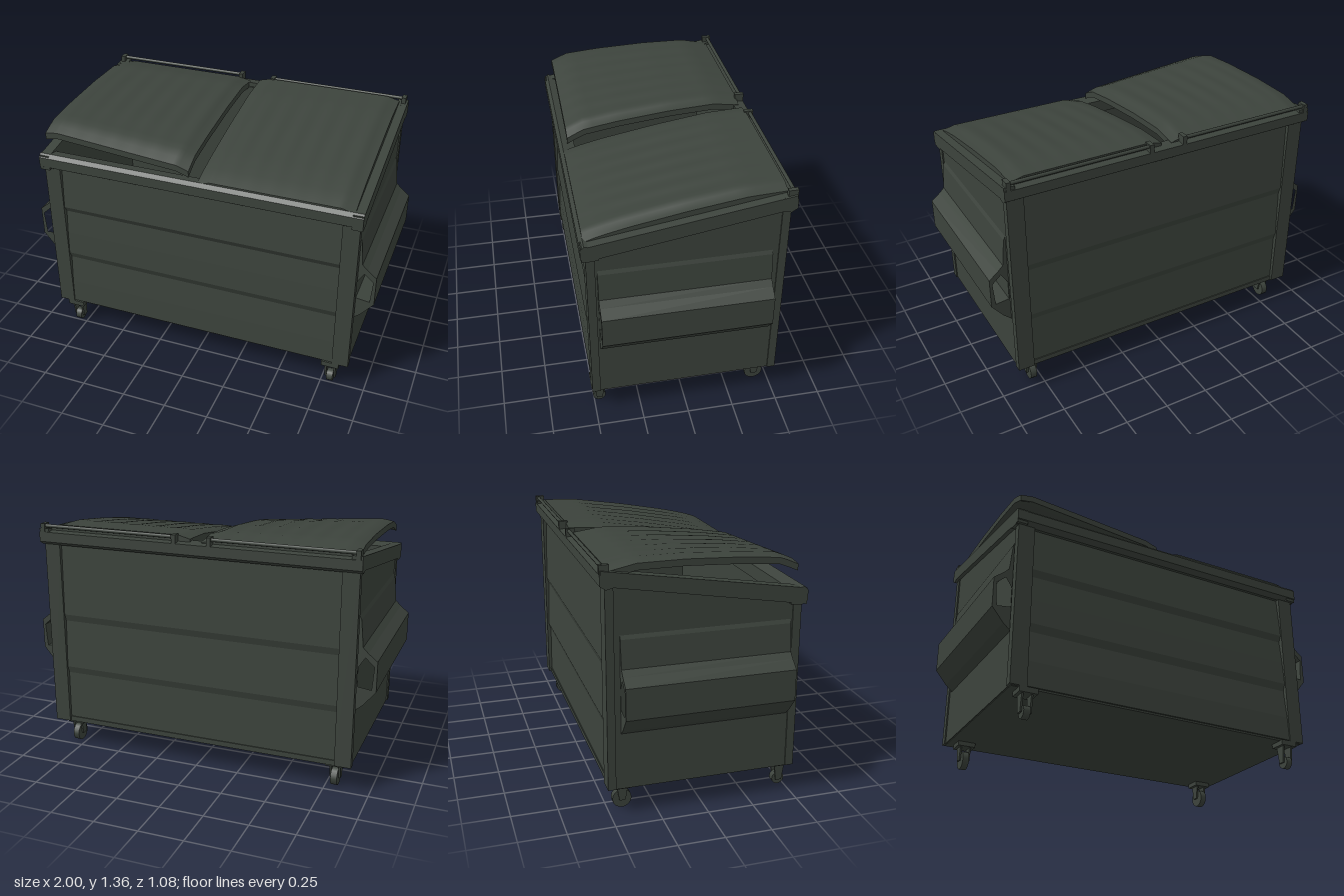
import * as THREE from 'three';

const paint = new THREE.MeshStandardMaterial({ color: 0x3c433c });
paint.name = 'dark green paint';

export function createModel() {
  const model = new THREE.Group();

  const add = (name, geo, x = 0, y = 0, z = 0) => {
    const mesh = new THREE.Mesh(geo, paint);
    mesh.name = name;
    mesh.position.set(x, y, z);
    model.add(mesh);
    return mesh;
  };
  // box given by its limits
  const block = (name, x0, x1, y0, y1, z0, z1) =>
    add(name, new THREE.BoxGeometry(x1 - x0, y1 - y0, z1 - z0),
      (x0 + x1) / 2, (y0 + y1) / 2, (z0 + z1) / 2);
  // side profile of [z, y] points, swept from x0 to x1
  const sweepX = (name, pts, x0, x1) => {
    const shape = new THREE.Shape(pts.map(([z, y]) => new THREE.Vector2(-z, y)));
    const geo = new THREE.ExtrudeGeometry(shape, { depth: x1 - x0, bevelEnabled: false });
    geo.rotateY(Math.PI / 2);
    return add(name, geo, x0, 0, 0);
  };
  // front profile of [x, y] points, swept from z0 to z1
  const sweepZ = (name, pts, hole, z0, z1) => {
    const vec = (list) => list.map(([x, y]) => new THREE.Vector2(x, y));
    const shape = new THREE.Shape(vec(pts));
    if (hole) shape.holes.push(new THREE.Path(vec(hole)));
    const geo = new THREE.ExtrudeGeometry(shape, { depth: z1 - z0, bevelEnabled: false });
    return add(name, geo, 0, 0, z0);
  };

  // hollow bin: floor, creased front and back panels, sloped sides
  block('floor', -0.89, 0.89, 0.15, 0.18, -0.5, 0.5);
  sweepX('frontPanel', [[0.46, 0.16], [0.51, 0.16], [0.505, 0.3], [0.49, 0.47], [0.508, 0.51],
    [0.5, 0.65], [0.488, 0.79], [0.508, 0.825], [0.49, 1.09], [0.46, 1.09]], -0.86, 0.86);
  sweepX('backPanel', [[-0.46, 0.16], [-0.495, 0.16], [-0.49, 0.46], [-0.503, 0.5],
    [-0.49, 0.78], [-0.503, 0.82], [-0.49, 1.29], [-0.46, 1.29]], -0.86, 0.86);
  for (const s of [-1, 1]) {
    const span = (a, b) => (s > 0 ? [a, b] : [-b, -a]);
    sweepX('sideWall', [[0.505, 0.155], [0.505, 1.11], [-0.505, 1.29], [-0.505, 0.155]], ...span(0.86, 0.895));
    // corner posts
    block('frontPost', ...span(0.81, 0.902), 0.155, 1.1, 0.47, 0.515);
    block('backPost', ...span(0.81, 0.902), 0.155, 1.28, -0.513, -0.47);
    // sloping top rail
    sweepX('sideRail', [[0.535, 1.07], [0.535, 1.155], [-0.535, 1.325], [-0.535, 1.25]], ...span(0.86, 0.918));
    // fork pocket, open at both ends
    const flip = (pts) => pts.map(([x, y]) => [x * s, y]);
    sweepZ('forkPocket',
      flip([[0.89, 0.46], [0.935, 0.5], [1, 0.58], [1, 0.75], [0.95, 0.79], [0.92, 0.82], [0.905, 0.97], [0.89, 1.0]]),
      flip([[0.9, 0.6], [0.975, 0.59], [0.985, 0.72], [0.935, 0.765], [0.9, 0.71]]), -0.44, 0.46);
    // lid hinge rod and its end brackets
    const rod = new THREE.CylinderGeometry(0.01, 0.01, 0.8, 8);
    rod.rotateZ(Math.PI / 2);
    add('hingeRod', rod, s * 0.49, 1.338, -0.522);
    for (const x of [0.1, 0.895]) {
      block('hingeBracket', s * x - 0.012, s * x + 0.012, 1.29, 1.352, -0.54, -0.49);
    }
  }
  // front and back top rails
  sweepX('frontRail', [[0.45, 1.075], [0.51, 1.07], [0.54, 1.09], [0.54, 1.145], [0.52, 1.165], [0.45, 1.15]], -0.918, 0.918);
  sweepX('backRail', [[-0.47, 1.24], [-0.51, 1.23], [-0.54, 1.25], [-0.54, 1.305], [-0.47, 1.315]], -0.918, 0.918);

  // lids: a slab bent along a [z, y] curve, with shallow ribs and a local twist
  const heightAt = (pts, z) => {
    for (let i = 1; i < pts.length; i++) {
      const [z0, y0] = pts[i - 1], [z1, y1] = pts[i];
      if (z >= z1 || i === pts.length - 1) return y0 + (y1 - y0) * (z - z0) / (z1 - z0);
    }
    return 0;
  };
  const lid = (name, x0, x1, z0, z1, thick, curve, lift) => {
    const geo = new THREE.BoxGeometry(x1 - x0, thick, z1 - z0, 48, 1, 20);
    geo.translate((x0 + x1) / 2, 0, (z0 + z1) / 2);
    const p = geo.attributes.position;
    for (let i = 0; i < p.count; i++) {
      const x = p.getX(i), z = p.getZ(i);
      const u = (x - x0) / (x1 - x0), v = (z - z0) / (z1 - z0);
      const edge = Math.min(1, Math.min(u, 1 - u) * 12);
      const rib = 0.003 * Math.sin(u * 44) * Math.sin(Math.PI * v);
      const droop = -0.018 * (1 - edge);
      p.setY(i, p.getY(i) - thick / 2 + heightAt(curve, z) + rib + droop + lift(u, v));
    }
    geo.computeVertexNormals();
    return add(name, geo);
  };
  lid('raisedLid', -0.89, -0.04, -0.5, 0.49, 0.035,
    [[0.5, 1.28], [0.4, 1.325], [0.2, 1.345], [-0.1, 1.36], [-0.35, 1.36], [-0.5, 1.33]],
    (u, v) => 0.01 * v - 0.075 * u * v);
  lid('closedLid', 0.02, 0.87, -0.5, 0.52, 0.045,
    [[0.52, 1.175], [0.45, 1.2], [0.3, 1.235], [0, 1.29], [-0.3, 1.335], [-0.5, 1.345]], () => 0);

  // casters: plate, two fork cheeks and a small wheel
  for (const s of [-1, 1]) {
    for (const [z, r, name] of [[0.47, 0.035, 'frontCaster'], [-0.42, 0.052, 'backCaster']]) {
      const x = s * 0.8;
      block(name + 'Plate', x - 0.05, x + 0.05, 0.125, 0.155, z - 0.045, z + 0.045);
      for (const side of [-1, 1]) {
        const cx = x + side * 0.026;
        sweepX(name + 'Fork', [[z - 0.03, 0.13], [z - 0.016, r - 0.005], [z + 0.016, r - 0.005], [z + 0.03, 0.13]],
          cx - 0.005, cx + 0.005);
      }
      const wheel = new THREE.CylinderGeometry(r, r, 0.036, 14);
      wheel.rotateZ(Math.PI / 2);
      add(name + 'Wheel', wheel, x, r, z);
    }
  }
  return model;
}
